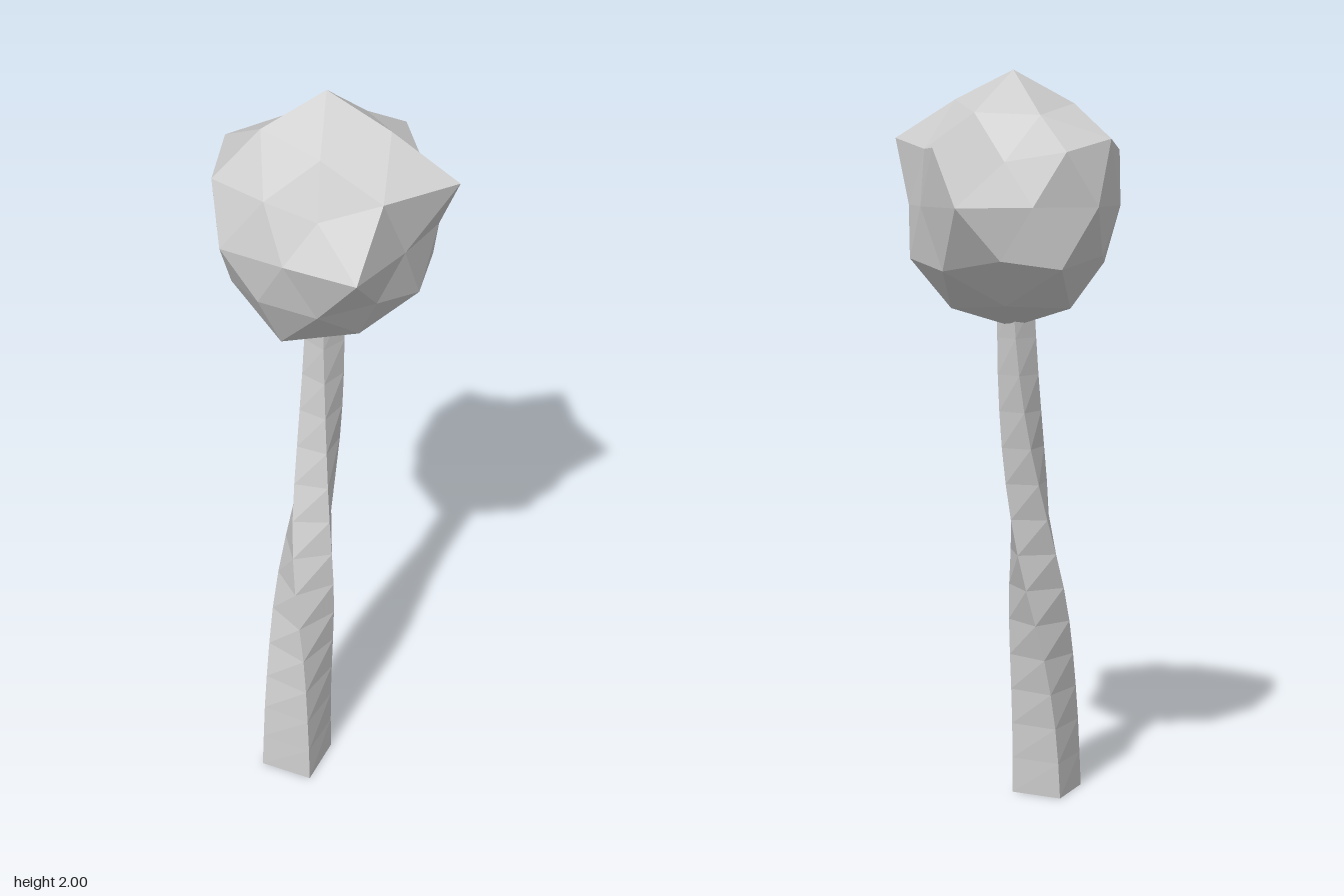
import * as THREE from 'three';

const grey = new THREE.MeshStandardMaterial({ color: 0xcccccc, flatShading: true });
grey.name = 'plain grey';

function meshFrom(name, triangles) {
  const geometry = new THREE.BufferGeometry().setFromPoints(triangles);
  geometry.computeVertexNormals();
  const mesh = new THREE.Mesh(geometry, grey);
  mesh.name = name;
  return mesh;
}

// Crown: a once-divided icosahedron with its own radius for each corner
function makeCrown() {
  const centre = new THREE.Vector3(-0.035, 1.65, 0.02);
  // corners of one level: start angle and step in degrees, sine of elevation
  const ring = (start, step, rise, radii) => radii.map((r, i) => {
    const a = THREE.MathUtils.degToRad(start + step * i);
    const flat = Math.sqrt(1 - rise * rise);
    return new THREE.Vector3(flat * Math.cos(a), rise, -flat * Math.sin(a)).multiplyScalar(r).add(centre);
  });
  const [top] = ring(0, 0, 1, [0.35]);
  const topMid = ring(0, 72, 0.851, [0.323, 0.28, 0.272, 0.31, 0.28]);
  const upper = ring(0, 72, 0.447, [0.39, 0.334, 0.309, 0.32, 0.235]);
  const upperMid = ring(36, 72, 0.526, [0.277, 0.215, 0.326, 0.266, 0.315]);
  const waist = ring(18, 36, 0, [0.278, 0.272, 0.343, 0.259, 0.296, 0.282, 0.302, 0.262, 0.337, 0.255]);
  const lower = ring(36, 72, -0.447, [0.307, 0.3, 0.285, 0.285, 0.27]);
  const lowerMid = ring(0, 72, -0.526, [0.294, 0.31, 0.3, 0.29, 0.28]);
  const lowMid = ring(36, 72, -0.851, [0.316, 0.3, 0.314, 0.333, 0.3]);
  const [bottom] = ring(0, 0, -1, [0.32]);

  const tris = [];
  const face = (a, b, c, ab, bc, ca) => tris.push(a, ab, ca, ab, b, bc, ca, bc, c, ab, bc, ca);
  for (let k = 0; k < 5; k++) {
    const n = (k + 1) % 5;
    const w0 = waist[2 * k], w1 = waist[2 * k + 1], w2 = waist[(2 * k + 2) % 10];
    face(top, upper[k], upper[n], topMid[k], upperMid[k], topMid[n]);
    face(upper[k], lower[k], upper[n], w0, w1, upperMid[k]);
    face(lower[k], lower[n], upper[n], lowerMid[n], w2, w1);
    face(bottom, lower[n], lower[k], lowMid[n], lowerMid[n], lowMid[k]);
  }
  return meshFrom('crown', tris);
}

// Trunk: a square section that tapers, leans back and twists as it rises
function makeTrunk() {
  // height, centre z, side length, twist in degrees
  const stations = [
    [0, 0.247, 0.147, 0], [0.2, 0.235, 0.137, 4], [0.4, 0.208, 0.125, 16],
    [0.6, 0.172, 0.114, 41], [0.8, 0.128, 0.099, 68], [1, 0.082, 0.086, 90],
    [1.2, 0.05, 0.077, 107], [1.4, 0.033, 0.07, 117],
  ];
  const shape = new THREE.CatmullRomCurve3(stations.map(([y, z, s]) => new THREE.Vector3(s, y, z)));
  const twist = new THREE.SplineCurve(stations.map(([y, , , t]) => new THREE.Vector2(y, t)));
  const steps = 14, rings = [];
  for (let i = 0; i <= steps; i++) {
    const { x: side, y, z } = shape.getPoint(i / steps);
    const turn = THREE.MathUtils.degToRad(twist.getPoint(i / steps).y);
    rings.push([0, 1, 2, 3].map((k) => {
      const a = Math.PI / 4 + k * Math.PI / 2 + turn;
      const r = side * Math.SQRT1_2;
      return new THREE.Vector3(-0.036 + r * Math.cos(a), y, z + r * Math.sin(a));
    }));
  }
  const tris = [];
  const quad = (a, b, c, d) => tris.push(a, b, c, a, c, d);
  for (let i = 0; i < steps; i++) {
    for (let k = 0; k < 4; k++) {
      const n = (k + 1) % 4;
      quad(rings[i][n], rings[i][k], rings[i + 1][k], rings[i + 1][n]);
    }
  }
  quad(...rings[0]);
  quad(...rings[steps].slice().reverse());
  return meshFrom('trunk', tris);
}

export function createModel() {
  const tree = new THREE.Group();
  tree.name = 'tree';
  tree.add(makeTrunk(), makeCrown());
  return tree;
}
